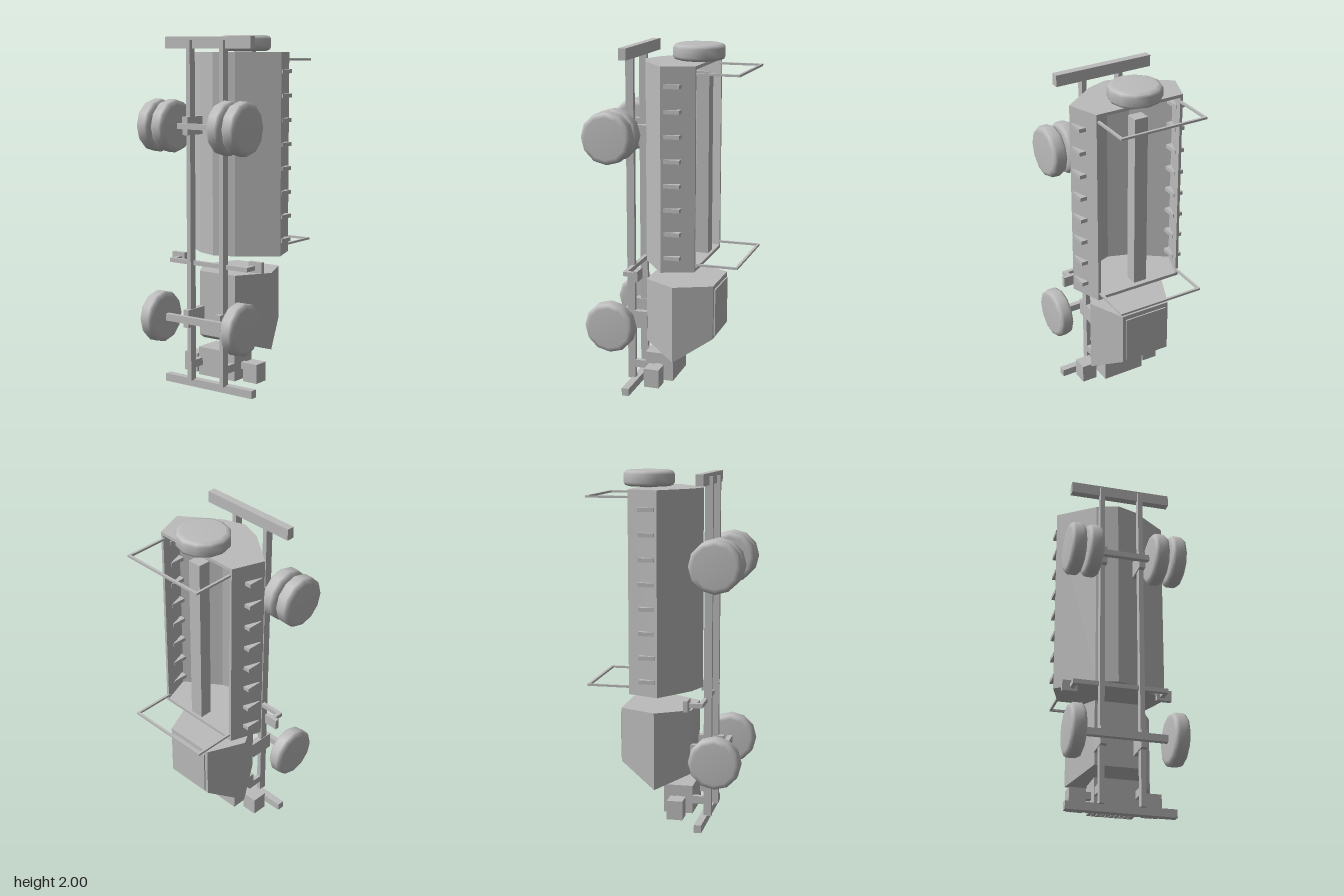
import * as THREE from 'three';
import { ConvexGeometry } from 'three/addons/geometries/ConvexGeometry.js';

export function createModel() {
  const model = new THREE.Group();
  const grey = new THREE.MeshStandardMaterial({ color: 0xbcbcbc });
  grey.name = 'plain grey';

  function add(name, geometry) {
    const mesh = new THREE.Mesh(geometry, grey);
    mesh.name = name;
    model.add(mesh);
    return mesh;
  }
  // Box given by its limits on each axis
  function box(name, x0, x1, y0, y1, z0, z1) {
    const g = new THREE.BoxGeometry(x1 - x0, y1 - y0, z1 - z0);
    g.translate((x0 + x1) / 2, (y0 + y1) / 2, (z0 + z1) / 2);
    return add(name, g);
  }
  // The same box on both sides of the vehicle
  function pair(name, x0, x1, y0, y1, z0, z1) {
    box(name + 'Left', x0, x1, y0, y1, z0, z1);
    box(name + 'Right', -x1, -x0, y0, y1, z0, z1);
  }
  // Symmetric cross-section from half a profile of [x, z], top to bottom
  function mirrored(half) {
    const other = half.filter(p => p[0] > 0).map(([x, z]) => [-x, z]).reverse();
    return [...half, ...other];
  }
  // Extrudes a [x, z] section from y0 to y1
  function prism(name, section, y0, y1) {
    const shape = new THREE.Shape(section.map(([x, z]) => new THREE.Vector2(x, -z)));
    const g = new THREE.ExtrudeGeometry(shape, { depth: y1 - y0, bevelEnabled: false });
    g.rotateX(-Math.PI / 2);
    g.translate(0, y0, 0);
    return add(name, g);
  }

  // Chassis: rails, bumpers, axles and their mounts
  pair('chassisRail', 0.1, 0.127, 0.04, 1.97, 0.2, 0.245);
  box('rearBumper', -0.293, 0.293, 1.925, 1.99, 0.18, 0.224);
  box('frontBumper', -0.305, 0.305, 0, 0.045, 0.18, 0.222);
  for (const [name, y, half] of [['rear', 1.5, 0.016], ['front', 0.407, 0.02]]) {
    box(name + 'Axle', -0.26, 0.26, y - half, y + half, 0.276, 0.306);
    pair(name + 'AxleMount', 0.094, 0.13, y - 0.051, y + 0.051, 0.122, 0.277);
  }

  // Wheels: twelve-sided tyres with rounded shoulders
  const r = 0.148, w = 0.045;
  const profile = [[0, -w], [0.118, -w], [0.14, -w * 0.82], [r, -w * 0.5],
    [r, w * 0.5], [0.14, w * 0.82], [0.118, w], [0, w]].map(p => new THREE.Vector2(...p));
  const tyre = new THREE.LatheGeometry(profile, 12);
  for (const side of [1, -1]) {
    for (const [name, x, y] of [['rearOuterWheel', 0.291, 1.5],
      ['rearInnerWheel', 0.19, 1.5], ['frontWheel', 0.28, 0.407]]) {
      const wheel = add(name + (side > 0 ? 'Left' : 'Right'), tyre);
      wheel.rotation.z = Math.PI / 2;
      wheel.position.set(side * x, y, 0.292);
    }
  }
  add('spareWheel', tyre).position.set(0, 1.956, -0.143);
  box('spareWheelMount', -0.063, 0.063, 1.9, 1.925, -0.157, -0.12);

  // Open hopper with end walls
  const y0 = 0.77, y1 = 1.905, wall = 0.018;
  const outer = mirrored([[0.263, -0.2], [0.327, -0.024], [0.122, 0.128], [0, 0.17]]);
  const shellOuter = [[0.263, -0.2], [0.327, -0.024], [0.122, 0.128], [0, 0.17],
    [-0.122, 0.128], [-0.327, -0.024], [-0.263, -0.2]];
  const shellInner = [[-0.247, -0.2], [-0.308, -0.029], [-0.116, 0.113], [0, 0.154],
    [0.116, 0.113], [0.308, -0.029], [0.247, -0.2]];
  prism('hopperShell', [...shellOuter, ...shellInner], y0 + wall, y1 - wall);
  prism('hopperFrontWall', outer, y0, y0 + wall);
  prism('hopperRearWall', outer, y1 - wall, y1);
  box('hopperBeam', -0.04, 0.04, 0.82, 1.83, -0.212, -0.14);
  for (let i = 0; i < 8; i++) {
    const y = 0.855 + i * 0.135;
    pair('sideRib' + (i + 1), 0.268, 0.327, y - 0.011, y + 0.011, -0.13, -0.04);
  }

  // Guard hoops standing on the hopper
  for (const [name, y] of [['frontHoop', 0.81], ['rearHoop', 1.863]]) {
    pair(name + 'Post', 0.244, 0.257, y - 0.006, y + 0.006, -0.43, -0.19);
    box(name + 'Bar', -0.257, 0.257, y - 0.006, y + 0.006, -0.442, -0.428);
  }

  // Faceted cab with a wedge-shaped nose
  const cabRows = [[0.15, -0.275, 0.345], [0.243, -0.063, 0.212], [0.125, 0.128, 0.287]];
  const cabPoints = [];
  for (const [x, z, nose] of cabRows) {
    for (const s of [1, -1]) {
      for (const y of [nose, 0.66]) cabPoints.push(new THREE.Vector3(s * x, y, z));
    }
  }
  add('cab', new ConvexGeometry(cabPoints));
  box('roofPanel', -0.13, 0.13, 0.36, 0.633, -0.283, -0.274);

  // Wiper lying on the sloped windscreen
  const wiper = new THREE.Group();
  wiper.name = 'wiper';
  for (const [sx, sz, z] of [[0.006, 0.06, 0], [0.06, 0.006, -0.03]]) {
    const part = new THREE.Mesh(new THREE.BoxGeometry(sx, 0.006, sz), grey);
    part.name = 'wiperArm';
    part.position.z = z;
    wiper.add(part);
  }
  wiper.position.set(0, 0.237, -0.108);
  wiper.rotation.x = Math.atan2(0.133, 0.212);
  model.add(wiper);

  // Engine housing, headlamps and their grilles
  box('engineHousing', -0.128, 0.128, 0.05, 0.214, -0.03, 0.137);
  pair('housingBracket', 0.1, 0.127, 0.11, 0.155, 0.13, 0.21);
  pair('headlamp', 0.164, 0.257, 0.05, 0.16, 0.014, 0.104);
  pair('headlampArm', 0.12, 0.17, 0.11, 0.15, 0.04, 0.075);
  function grille(name, x0, x1, z0, z1, nx, nz) {
    const dx = (x1 - x0) / nx, dz = (z1 - z0) / nz;
    for (let i = 0; i < nx; i++) {
      for (let j = 0; j < nz; j++) {
        const x = x0 + (i + 0.5) * dx, z = z0 + (j + 0.5) * dz;
        box(name, x - dx * 0.3, x + dx * 0.3, 0.044, 0.051, z - dz * 0.3, z + dz * 0.3);
      }
    }
  }
  grille('engineGrille', -0.115, 0.115, -0.02, 0.125, 9, 5);
  grille('headlampGrilleLeft', 0.175, 0.246, 0.024, 0.094, 3, 3);
  grille('headlampGrilleRight', -0.246, -0.175, 0.024, 0.094, 3, 3);

  // Crossbar carrying a step plate on each side
  box('stepCrossbar', -0.27, 0.27, 0.71, 0.735, 0.197, 0.22);
  pair('stepArm', 0.245, 0.27, 0.71, 0.735, 0.13, 0.22);
  pair('stepPlate', 0.227, 0.313, 0.695, 0.757, 0.118, 0.143);

  return model;
}
